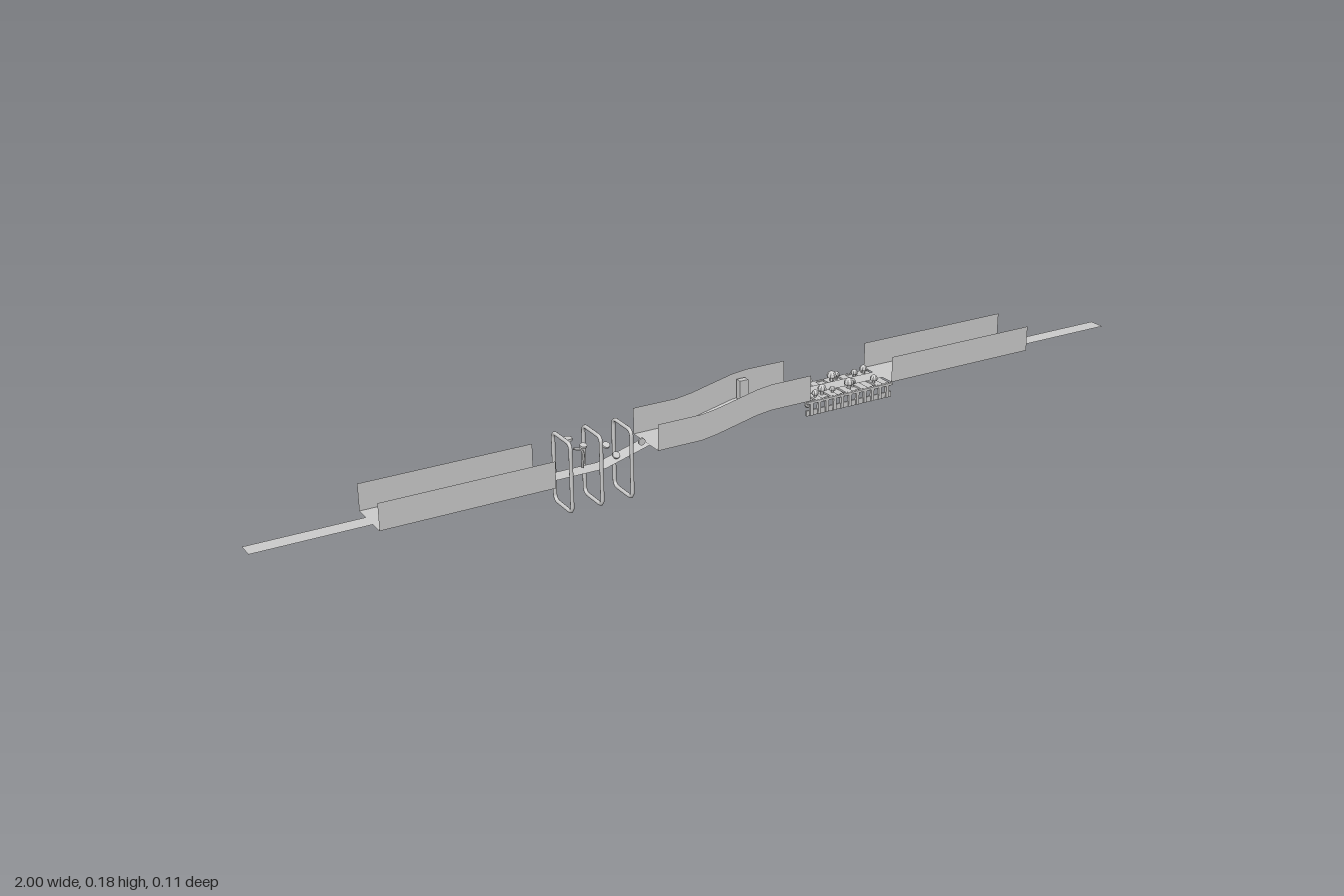
import * as THREE from 'three';

const mat = new THREE.MeshStandardMaterial({ color: 0xcccccc, side: THREE.DoubleSide });
const flat = new THREE.MeshStandardMaterial({ color: 0xcccccc, side: THREE.DoubleSide, flatShading: true });
const MID = 0.005; // centre line of the track in z

// Sweep an open [z, y] section along an [x, y] path
function sweep(path, section) {
  const pos = [];
  const at = (p, s) => [p[0], p[1] + s[1], MID + s[0]];
  for (let i = 0; i < path.length - 1; i++) {
    for (let j = 0; j < section.length - 1; j++) {
      const a = at(path[i], section[j]), b = at(path[i], section[j + 1]);
      const c = at(path[i + 1], section[j + 1]), d = at(path[i + 1], section[j]);
      pos.push(...a, ...b, ...c, ...a, ...c, ...d);
    }
  }
  const g = new THREE.BufferGeometry();
  g.setAttribute('position', new THREE.Float32BufferAttribute(pos, 3));
  g.computeVertexNormals();
  return g;
}

// Rounded rectangular loop in the zy plane
function hoopGeometry(w, h, r, tube) {
  const curve = new THREE.CurvePath();
  const corners = [[-w, 0], [w, 0], [w, h], [-w, h]];
  const v = (c) => new THREE.Vector3(0, c[1], c[0]);
  corners.forEach((c, i) => {
    const prev = v(corners[(i + 3) % 4]), cur = v(c), next = v(corners[(i + 1) % 4]);
    const toward = (a, b) => a.clone().add(b.clone().sub(a).setLength(r));
    const end = toward(cur, next);
    curve.add(new THREE.QuadraticBezierCurve3(toward(cur, prev), cur, end));
    curve.add(new THREE.LineCurve3(end, toward(next, cur)));
  });
  return new THREE.TubeGeometry(curve, 96, tube, 10, true);
}

export function createModel() {
  const root = new THREE.Group();
  const add = (name, geo, x = 0, y = 0, z = 0, material = mat, parent = root) => {
    const m = new THREE.Mesh(geo, material);
    m.name = name;
    m.position.set(x, y, z);
    parent.add(m);
    return m;
  };

  // Narrow walkway between and beyond the troughs
  const strip = [[-0.018, 0], [0.018, 0]];
  [
    [[-1, 0.07], [-0.765, 0.07]],
    [[-0.405, 0.07], [-0.28, 0.07], [-0.18, 0.098]],
    [[0.18, 0.127], [0.39, 0.127]],
    [[0.75, 0.127], [1, 0.127]],
  ].forEach((p) => add('walkway', sweep(p, strip)));

  // Wide troughs with upright side walls
  const channel = [[-0.05, 0.056], [-0.05, 0], [0.05, 0], [0.05, 0.056]];
  [
    ['lowerTrough', [[-0.765, 0.07], [-0.405, 0.07]]],
    ['rampTrough', [[-0.18, 0.097], [-0.08, 0.097], [-0.045, 0.102], [0.05, 0.123], [0.085, 0.127], [0.18, 0.127]]],
    ['upperTrough', [[0.385, 0.127], [0.75, 0.127]]],
  ].forEach(([name, p]) => add(name, sweep(p, channel)));

  // Three hoops around the walkway
  const hoop = hoopGeometry(0.037, 0.145, 0.014, 0.004);
  [-0.368, -0.302, -0.235].forEach((x) => add('hoop', hoop, x, 0.005, 0.01));

  // Bridge: deck boards, side rails and short stakes
  const bridge = new THREE.Group();
  bridge.name = 'bridge';
  root.add(bridge);
  const board = new THREE.BoxGeometry(0.017, 0.006, 0.086);
  const stake = new THREE.BoxGeometry(0.007, 0.032, 0.006);
  for (let i = 0; i < 11; i++) {
    const x = 0.187 + i * 0.0192;
    add('deckBoard', board, x, 0.119 + (i % 2) * 0.002, MID, flat, bridge);
    [-1, 1].forEach((s) => add('stake', stake, x, 0.108, MID + s * 0.043, flat, bridge));
  }
  [-1, 1].forEach((s) => {
    add('lowerRail', new THREE.BoxGeometry(0.215, 0.012, 0.004), 0.283, 0.097, MID + s * 0.041, flat, bridge);
    add('upperRail', new THREE.BoxGeometry(0.215, 0.005, 0.006), 0.283, 0.121, MID + s * 0.044, flat, bridge);
  });

  // Small mushroom-like growths on the deck, in two rows
  const cap = new THREE.SphereGeometry(0.0095, 8, 5, 0, Math.PI * 2, 0, Math.PI * 0.6);
  const stem = new THREE.CylinderGeometry(0.003, 0.004, 0.014, 6);
  [
    [0.205, 0.035, 0.8], [0.228, 0.026, 1], [0.25, 0.032, 0.7], [0.293, 0.03, 1.1], [0.308, 0.022, 0.8],
    [0.355, 0.033, 0.9], [0.218, -0.024, 0.9], [0.236, -0.033, 0.7], [0.285, -0.022, 1.1], [0.302, -0.03, 0.8],
    [0.342, -0.02, 0.8], [0.37, -0.026, 0.9],
  ].forEach(([x, z, s]) => {
    const growth = new THREE.Group();
    growth.name = 'growth';
    growth.position.set(x, 0.122, z);
    growth.scale.setScalar(s);
    bridge.add(growth);
    add('stem', stem, 0, 0.007, 0, flat, growth);
    add('cap', cap, 0, 0.013, 0, flat, growth);
  });

  // Stubs at the corner of the bridge
  const knot = new THREE.IcosahedronGeometry(0.007, 0);
  [[0.2, -0.049], [0.208, -0.044], [0.182, 0.042], [0.19, -0.04]].forEach(([x, z]) =>
    add('knot', knot, x, 0.113, z, flat, bridge));

  // Standing panel and a small block in the ramp trough
  add('panel', new THREE.BoxGeometry(0.02, 0.042, 0.014), 0.07, 0.147, -0.033, flat);
  add('block', new THREE.IcosahedronGeometry(0.009, 0), 0.008, 0.12, 0.04, flat);

  // Bent lever and little fittings between the hoops
  const lever = new THREE.CatmullRomCurve3([
    new THREE.Vector3(-0.322, 0.075, 0.005), new THREE.Vector3(-0.322, 0.112, 0.005), new THREE.Vector3(-0.338, 0.117, 0.0),
  ]);
  add('lever', new THREE.TubeGeometry(lever, 12, 0.003, 6), 0, 0, 0, flat);
  const disc = new THREE.CylinderGeometry(0.009, 0.009, 0.005, 12);
  [[-0.328, 0.118, -0.046], [-0.318, 0.12, 0.003], [-0.268, 0.11, 0.003], [-0.25, 0.087, 0.01], [-0.203, 0.113, 0.03]]
    .forEach(([x, y, z], i) => {
      const m = add('fitting', disc, x, y, z, flat);
      m.rotation.x = i === 4 ? Math.PI / 2 : 0.25 * i;
      m.scale.setScalar(i === 0 ? 1.1 : 0.85);
    });

  return root;
}
